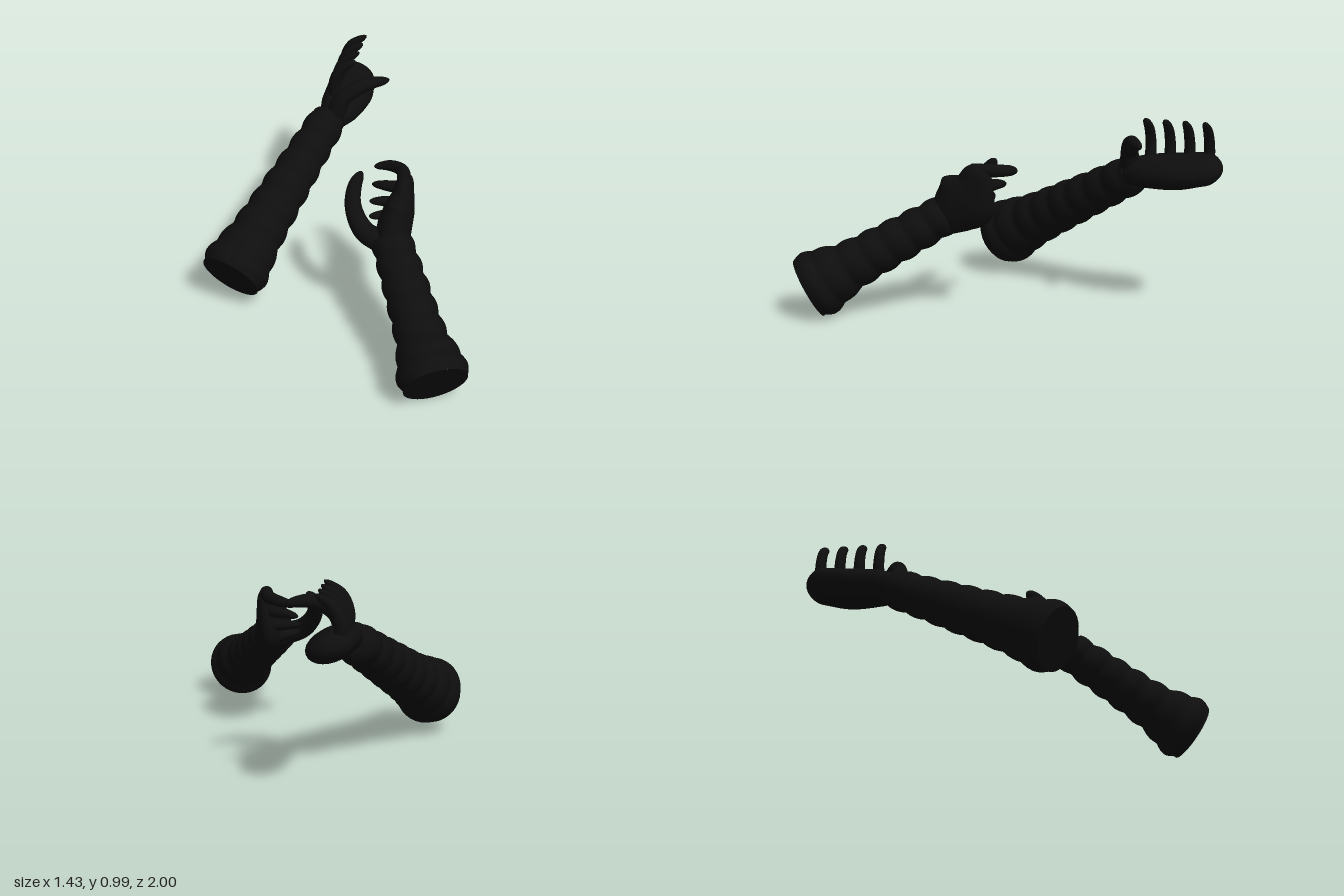
import * as THREE from 'three';

const black = new THREE.MeshStandardMaterial({ color: 0x0e0e0e });
black.name = 'black';
const V = (x, y, z) => new THREE.Vector3(x, y, z);

// Smooth skin over elliptical sections [x, y, z, sideRadius, otherRadius].
// round: share of the length at [start, end] that closes like a dome.
// fold: spacing and height of cloth folds.
function loft(name, sections, side, { round = [0.01, 0.12], fold = null, segs = 36, sides = 24 } = {}) {
  const curve = new THREE.CatmullRomCurve3(sections.map(s => V(s[0], s[1], s[2])));
  const radii = new THREE.CatmullRomCurve3(sections.map(s => V(s[3], s[4] ?? s[3], 0)), false, 'catmullrom', 0.4);
  const start = curve.getPoint(0);
  const pos = [], index = [];
  const dome = q => q >= 1 ? 1 : Math.sqrt(Math.max(1e-6, 1 - (1 - q) ** 2));
  for (let i = 0; i <= segs; i++) {
    // closer rings near both ends
    const s = i / segs, t = fold ? s : (1 - Math.cos(Math.PI * s)) / 2;
    const c = curve.getPoint(t), T = curve.getTangent(t), r = radii.getPoint(t);
    const u = side.clone().addScaledVector(T, -side.dot(T)).normalize();
    const v = T.clone().cross(u);
    let m = 1;
    if (round[0]) m *= dome(t / round[0]);
    if (round[1]) m *= dome((1 - t) / round[1]);
    const d = c.distanceTo(start);
    for (let j = 0; j < sides; j++) {
      const a = j / sides * Math.PI * 2;
      const f = fold ? fold[1] * Math.abs(Math.sin(Math.PI * d / fold[0] + 0.5 * Math.sin(a + 1))) : 0;
      const p = c.clone()
        .addScaledVector(u, Math.cos(a) * (r.x + f) * m)
        .addScaledVector(v, Math.sin(a) * (r.y + f) * m);
      pos.push(p.x, p.y, p.z);
      if (i < segs) {
        const k = (j + 1) % sides, A = i * sides, B = A + sides;
        index.push(A + j, A + k, B + j, A + k, B + k, B + j);
      }
    }
  }
  const g = new THREE.BufferGeometry();
  g.setAttribute('position', new THREE.Float32BufferAttribute(pos, 3));
  g.setIndex(index);
  g.computeVertexNormals();
  const mesh = new THREE.Mesh(g, black);
  mesh.name = name;
  return mesh;
}

// Tapering folded sleeve with a flat end at the elbow
function sleeve(name, from, to, profile, spacing) {
  const group = new THREE.Group();
  group.name = name;
  const sections = profile.map(([t, r]) => [...from.clone().lerp(to, t).toArray(), r]);
  group.add(loft(name + 'Cloth', sections, V(0, 1, 0),
    { round: [0, 0.04], fold: [spacing, 0.013], segs: 96, sides: 36 }));
  const cap = new THREE.Mesh(new THREE.CircleGeometry(profile[0][1] + 0.006, 36), black);
  cap.name = name + 'End';
  cap.position.copy(from);
  cap.quaternion.setFromUnitVectors(V(0, 0, 1), from.clone().sub(to).normalize());
  group.add(cap);
  return group;
}

function rightArm() {
  const arm = new THREE.Group();
  arm.name = 'rightArm';
  arm.add(sleeve('rightSleeve', V(-0.57, 0.19, 0.32), V(-0.23, 0.69, -0.56),
    [[0, 0.152], [0.07, 0.163], [0.25, 0.13], [0.5, 0.113], [0.78, 0.097], [1, 0.088]], 0.128));
  // open palm, facing up
  arm.add(loft('rightPalm', [
    [-0.22, 0.685, -0.5, 0.07, 0.065], [-0.195, 0.705, -0.62, 0.108, 0.075],
    [-0.175, 0.72, -0.78, 0.124, 0.078], [-0.18, 0.74, -0.91, 0.114, 0.07],
    [-0.19, 0.745, -1.0, 0.09, 0.06]], V(0.94, -0.34, 0), { round: [0.05, 0.22] }));
  // curling fingers along the palm
  for (let i = 0; i < 4; i++) {
    const z = -0.62 - i * 0.1;
    arm.add(loft('rightFinger' + (i + 1), [
      [-0.22, 0.74, z, 0.03, 0.034], [-0.227, 0.84, z, 0.027, 0.032],
      [-0.195, 0.92, z, 0.024, 0.028], [-0.115, 0.983, z, 0.014, 0.014]], V(0, 0, 1)));
  }
  arm.add(loft('rightThumb', [
    [-0.2, 0.72, -0.52, 0.05], [-0.16, 0.81, -0.53, 0.044],
    [-0.06, 0.87, -0.57, 0.036], [0.06, 0.875, -0.65, 0.02]], V(0, 0, 1)));
  return arm;
}

function leftArm() {
  const arm = new THREE.Group();
  arm.name = 'leftArm';
  arm.add(sleeve('leftSleeve', V(0.57, 0.14, 0.9), V(0.24, 0.51, 0.28),
    [[0, 0.152], [0.09, 0.16], [0.3, 0.118], [0.55, 0.105], [0.8, 0.097], [1, 0.09]], 0.115));
  // gripping palm, broad in the up-forward plane
  arm.add(loft('leftPalm', [
    [0.25, 0.46, 0.31, 0.08, 0.075], [0.25, 0.53, 0.24, 0.13, 0.085],
    [0.262, 0.6, 0.17, 0.16, 0.075], [0.275, 0.69, 0.125, 0.1, 0.05],
    [0.28, 0.775, 0.13, 0.06, 0.035]], V(0, -0.5, -0.85), { round: [0.05, 0.15] }));
  // curled fingers: knuckle, bend and tip
  const fingers = [
    [[0.28, 0.745, 0.14], [0.25, 0.745, 0.03], [0.18, 0.735, -0.02], [0.1, 0.718, -0.025]],
    [[0.28, 0.66, 0.12], [0.25, 0.665, 0.07], [0.18, 0.66, 0.05], [0.1, 0.648, 0.03]],
    [[0.28, 0.58, 0.14], [0.25, 0.585, 0.09], [0.18, 0.59, 0.085], [0.1, 0.59, 0.1]],
    [[0.27, 0.51, 0.15], [0.24, 0.515, 0.11], [0.18, 0.53, 0.12], [0.11, 0.54, 0.16]]];
  fingers.forEach((pts, i) => arm.add(loft('leftFinger' + (i + 1),
    pts.map((p, k) => [...p, [0.034, 0.032, 0.027, 0.014][k]]), V(0, 1, 0))));
  arm.add(loft('leftThumb', [
    [0.21, 0.49, 0.3, 0.06], [0.11, 0.53, 0.28, 0.052], [0.042, 0.62, 0.215, 0.042],
    [0.036, 0.7, 0.15, 0.035], [0.062, 0.76, 0.1, 0.02]], V(0, 0.7, 0.7)));
  return arm;
}

export function createModel() {
  const model = new THREE.Group();
  model.name = 'pairOfArms';
  model.add(rightArm(), leftArm());
  return model;
}
